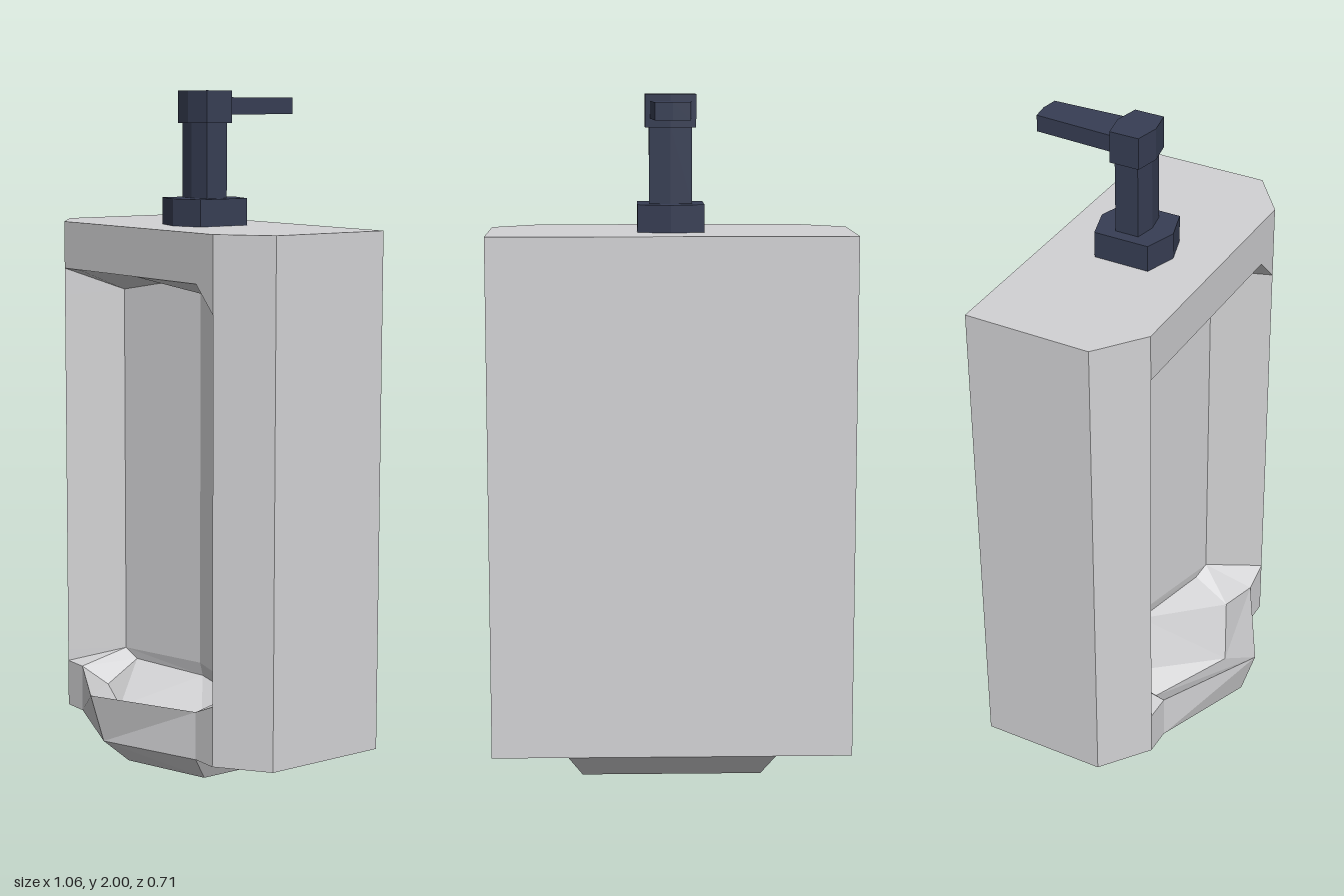
import * as THREE from 'three';

const ceramic = new THREE.MeshStandardMaterial({ color: 0xd2d2d4 });
ceramic.name = 'grey ceramic';
const metal = new THREE.MeshStandardMaterial({ color: 0x373e54 });
metal.name = 'dark blue metal';

// Flat faces for the +x half (corners counter-clockwise), mirrored to -x
function mirroredMesh(name, material, faces) {
  const pos = [];
  const fan = (f) => {
    for (let i = 1; i < f.length - 1; i++) pos.push(...f[0], ...f[i], ...f[i + 1]);
  };
  for (const f of faces) {
    fan(f);
    fan(f.map(([x, y, z]) => [-x, y, z]).reverse());
  }
  const g = new THREE.BufferGeometry();
  g.setAttribute('position', new THREE.Float32BufferAttribute(pos, 3));
  g.computeVertexNormals();
  const mesh = new THREE.Mesh(g, material);
  mesh.name = name;
  return mesh;
}

// Walls between two half outlines of [x, z], running from back to front
function walls(low, y0, high, y1) {
  const a = low.map(([x, z]) => [x, y0, z]);
  const b = high.map(([x, z]) => [x, y1, z]);
  const faces = [];
  for (let i = 0; i < a.length - 1; i++) faces.push([a[i], b[i], b[i + 1], a[i + 1]]);
  return faces;
}

const capUp = (path, y) => path.map(([x, z]) => [x, y, z]).reverse();
const capDown = (path, y) => path.map(([x, z]) => [x, y, z]);

function prism(name, path, y0, y1) {
  return mirroredMesh(name, metal, [...walls(path, y0, path, y1), capUp(path, y1), capDown(path, y0)]);
}

// Half hexagon around the pipe axis: half width, half depth, depth of its corners
const hex = (w, d, c) => [[0, -0.06 - d], [w, -0.06 - c], [w, -0.06 + c], [0, -0.06 + d]];

export function createModel() {
  const model = new THREE.Group();
  const yLow = 0.077, yTop = 1.605, zF = 0.19;

  // Housing: chamfered box with an open front
  const side = [[0, -0.305], [0.53, -0.305], [0.53, 0.08], [0.387, zF]];
  const outline = [...side, [0, zF]];
  model.add(mirroredMesh('housing', ceramic, [
    ...walls(side, yLow, side, yTop),
    capUp(outline, yTop),
    capDown(outline, yLow),
    [[0, 1.462, zF], [0.387, 1.462, zF], [0.387, yTop, zF], [0, yTop, zF]],
  ]));

  // Recess: faceted niche with a shallow V-shaped back
  const topMid = [0, 1.45, -0.045], topBack = [0.305, 1.395, 0.025], topSide = [0.387, 1.38, zF];
  const lowMid = [0, 0.262, -0.045], lowBack = [0.305, 0.255, 0.025], lowSide = [0.387, 0.255, zF];
  const lintel = [0.305, 1.462, zF];
  model.add(mirroredMesh('recess', ceramic, [
    [[0, 1.462, zF], topMid, topBack, lintel],
    [lintel, topBack, topSide, [0.387, 1.462, zF]],
    [topSide, topBack, lowBack, lowSide],
    [topMid, lowMid, lowBack, topBack],
  ]));

  // Basin: floor, sloped inner rim and pointed apron
  const floorMid = [0, 0.22, -0.055], floorBack = [0.265, 0.225, 0.01];
  const floorSide = [0.25, 0.165, 0.13], floorTip = [0, 0.175, 0.25];
  const rimSide = [0.305, 0.22, zF], rimEnd = [0.387, 0.22, zF], rimTip = [0, 0.225, 0.355];
  model.add(mirroredMesh('basin', ceramic, [
    [lowMid, floorMid, floorBack, lowBack],
    [lowSide, lowBack, rimSide, rimEnd],
    [lowBack, floorBack, floorSide, rimSide],
    [rimSide, floorSide, floorTip, rimTip],
    [floorMid, floorTip, floorSide, floorBack],
    [rimSide, rimTip, [0, yLow, 0.31], [0.305, yLow, zF]],
    [rimEnd, rimSide, [0.305, yLow, zF], [0.387, yLow, zF]],
  ]));

  // Foot: tapered underside
  const footTop = [[0, -0.305], [0.305, -0.305], [0.305, zF], [0, 0.31]];
  const footLow = [[0, -0.23], [0.265, -0.23], [0.265, 0.13], [0, 0.22]];
  model.add(mirroredMesh('foot', ceramic, [
    ...walls(footLow, 0, footTop, yLow),
    capDown(footLow, 0),
  ]));

  // Flush pipe and lever
  model.add(prism('pipeCollar', hex(0.097, 0.115, 0.085), yTop, 1.685));
  model.add(prism('pipe', hex(0.062, 0.048, 0.036), 1.685, 1.905));
  model.add(prism('valveHead', hex(0.074, 0.06, 0.045), 1.905, 2));
  model.add(prism('lever', [[0, -0.357], [0.05, -0.35], [0.06, -0.1], [0, -0.1]], 1.93, 1.98));

  return model;
}
